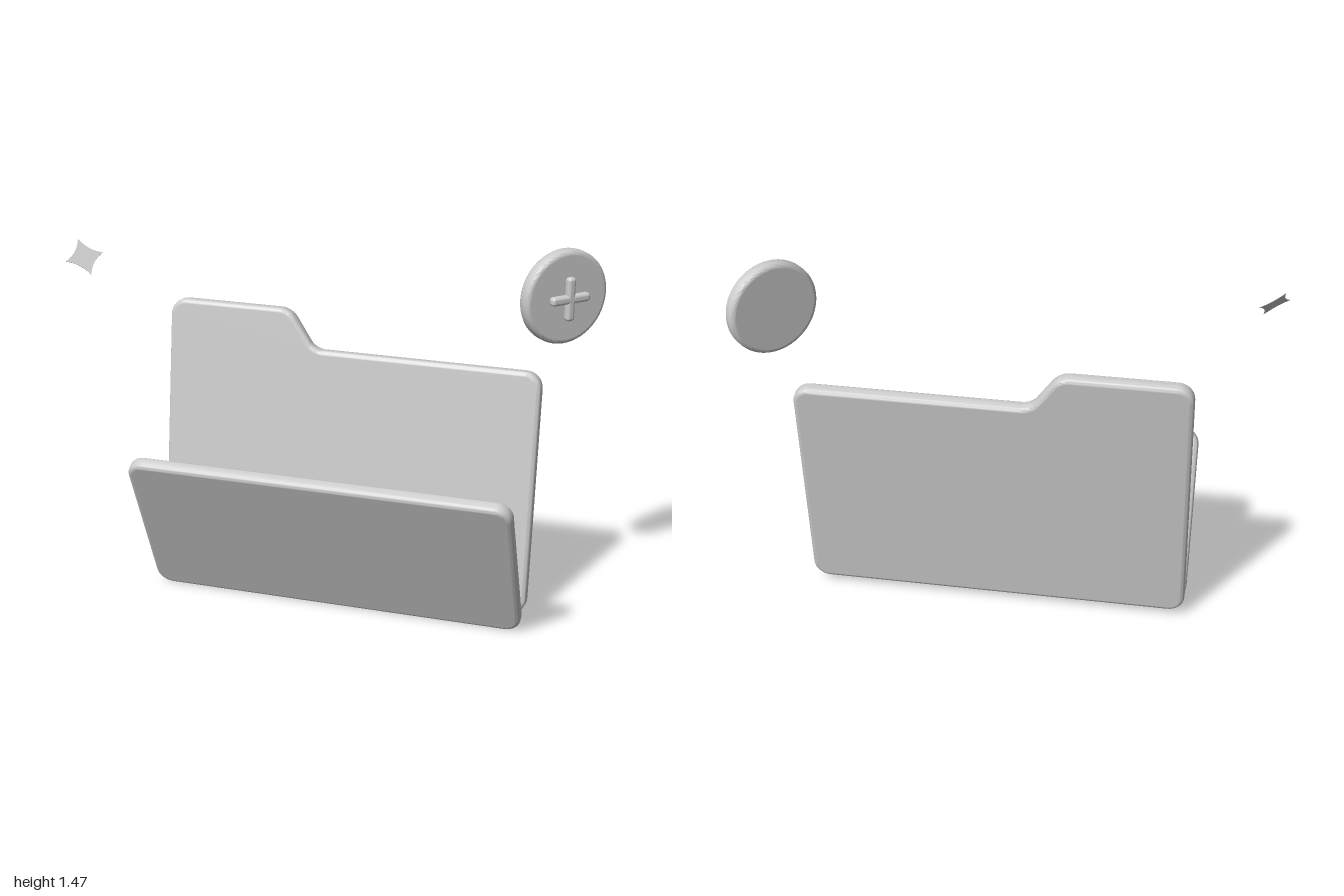
import * as THREE from 'three';
import { toCreasedNormals } from 'three/addons/utils/BufferGeometryUtils.js';
import { RoundedBoxGeometry } from 'three/addons/geometries/RoundedBoxGeometry.js';

const THICK = 0.057, BEVEL = 0.018;

// Closed outline with every corner [x, y, cut] rounded
function roundedOutline(corners) {
  const shape = new THREE.Shape();
  const n = corners.length;
  corners.forEach(([x, y, cut], i) => {
    const p = new THREE.Vector2(x, y);
    const toward = (c, d) => p.clone().add(new THREE.Vector2(c[0] - x, c[1] - y).setLength(d));
    const prev = corners[(i + n - 1) % n], next = corners[(i + 1) % n];
    const a = toward(prev, cut), b = toward(next, cut);
    const ca = toward(prev, cut * 0.45), cb = toward(next, cut * 0.45);
    if (i === 0) shape.moveTo(a.x, a.y); else shape.lineTo(a.x, a.y);
    shape.bezierCurveTo(ca.x, ca.y, cb.x, cb.y, b.x, b.y);
  });
  shape.closePath();
  return shape;
}

// Soft-edged plate centred on z = 0, with truly flat faces
function plate(shape, curveSegments = 8) {
  const core = THICK - 2 * BEVEL;
  let geo = new THREE.ExtrudeGeometry(shape, {
    depth: core, bevelThickness: BEVEL, bevelSize: BEVEL, bevelOffset: -BEVEL,
    bevelSegments: 5, curveSegments,
  });
  geo.translate(0, 0, -core / 2);
  geo = toCreasedNormals(geo, 0.7);
  const p = geo.attributes.position, nrm = geo.attributes.normal;
  for (let i = 0; i < p.count; i += 3) {
    const z = [0, 1, 2].map((k) => p.getZ(i + k));
    if (z.every((v) => Math.abs(Math.abs(v) - THICK / 2) < 1e-5 && v * z[0] > 0)) {
      for (let k = 0; k < 3; k++) nrm.setXYZ(i + k, 0, 0, Math.sign(z[0]));
    }
  }
  return geo;
}

export function createModel() {
  const model = new THREE.Group();
  const grey = new THREE.MeshStandardMaterial({ color: 0xcccccc });
  grey.name = 'lightGrey';
  const add = (name, geo, parent = model) => {
    const mesh = new THREE.Mesh(geo, grey);
    mesh.name = name;
    parent.add(mesh);
    return mesh;
  };

  const left = -0.695, right = 0.795, r = 0.065;

  // Back cover with raised tab, leaning back
  const hb = 1.11 / 2, ledge = hb - 0.152;
  const back = add('backCover', plate(roundedOutline([
    [left, -hb, r], [right, -hb, r], [right, ledge, r],
    [-0.10, ledge, 0.035], [-0.205, hb, 0.04], [left, hb, r],
  ])));
  back.position.set(0, 0.577, -0.143);
  back.rotation.x = THREE.MathUtils.degToRad(-8);

  // Front cover, tipped open
  const hf = 0.693 / 2;
  const front = add('frontCover', plate(roundedOutline([
    [left, -hf, r], [right, -hf, r], [right, hf, r], [left, hf, r],
  ])));
  front.position.set(0, 0.32, 0.15);
  front.rotation.x = THREE.MathUtils.degToRad(25);

  // Round button with a plus sign on its face
  const button = new THREE.Group();
  button.name = 'addButton';
  button.position.set(0.859, 1.288, -0.178);
  button.rotation.y = Math.PI / 4;
  model.add(button);
  const disc = new THREE.Shape();
  disc.absarc(0, 0, 0.178, 0, Math.PI * 2);
  add('buttonDisc', plate(disc, 48), button);
  for (const [name, w, h] of [['plusBar', 0.165, 0.033], ['plusPost', 0.033, 0.165]]) {
    add(name, new RoundedBoxGeometry(w, h, 0.032, 4, 0.012), button).position.z = 0.042;
  }

  // Four-pointed sparkle with hollow sides
  const R = 0.076, c = R * 0.29;
  const star = new THREE.Shape();
  star.moveTo(R, 0);
  for (const [x, y, cx, cy] of [[0, R, c, c], [-R, 0, -c, c], [0, -R, -c, -c], [R, 0, c, -c]]) {
    star.quadraticCurveTo(cx, cy, x, y);
  }
  const sparkle = add('sparkle', new THREE.ExtrudeGeometry(star, { depth: 0.002, bevelEnabled: false, curveSegments: 8 }));
  const u = new THREE.Vector3(0.053, 0.008, -0.054).normalize();
  const n = u.clone().cross(new THREE.Vector3(-0.032, 0.061, -0.032)).normalize();
  const v = n.clone().cross(u);
  sparkle.quaternion.setFromRotationMatrix(new THREE.Matrix4().makeBasis(u, v, n));
  sparkle.position.set(-0.945, 1.34, 0.048);

  return model;
}
